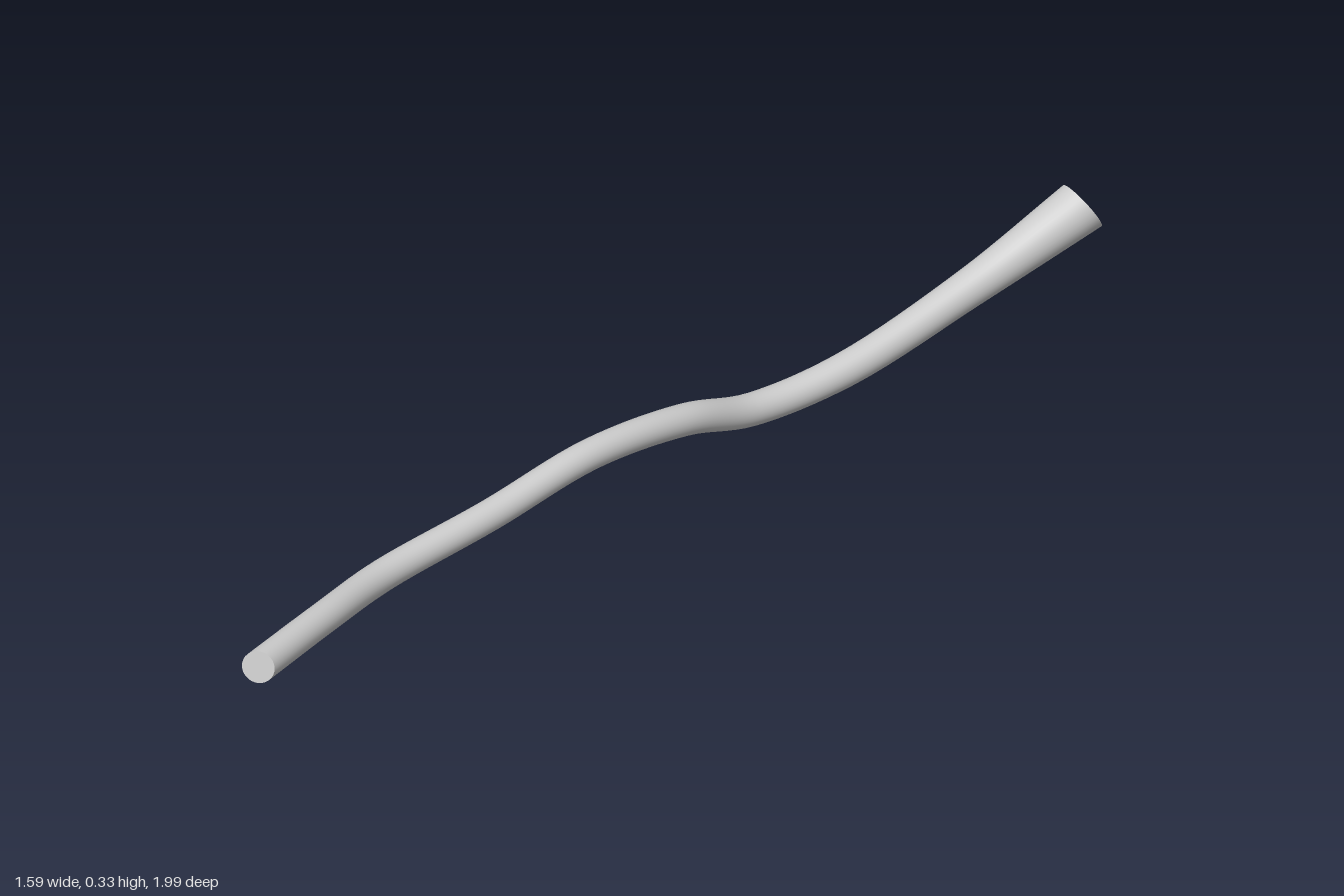
import * as THREE from 'three';

// Centre line stations: x, y, z, radius
const STATIONS = [
  [-0.76, 0.074, 0.992, 0.038],
  [-0.66, 0.065, 0.75, 0.037],
  [-0.565, 0.05, 0.52, 0.037],
  [-0.37, 0.077, 0.27, 0.036],
  [-0.185, 0.118, 0.04, 0.036],
  [-0.015, 0.098, -0.17, 0.037],
  [0.11, 0.042, -0.33, 0.038],
  [0.29, 0.064, -0.5, 0.04],
  [0.53, 0.162, -0.742, 0.045],
  [0.745, 0.278, -0.942, 0.063],
];
const FRONT_NORMAL = new THREE.Vector3(-0.08, 0.2, 0.98).normalize();
const BACK_NORMAL = new THREE.Vector3(0.62, 0.5, -0.62).normalize();
const RINGS = 72, SIDES = 32;

// Round skin swept along the centre line, with its end rings tilted to the cut faces
function sweptSkin() {
  const curve = new THREE.CatmullRomCurve3(STATIONS.map(([x, y, z]) => new THREE.Vector3(x, y, z)));
  const radii = new THREE.CatmullRomCurve3(STATIONS.map((s, i) => new THREE.Vector3(i, s[3], 0)));
  const up = new THREE.Vector3(0, 1, 0);
  const positions = [], indices = [];
  for (let i = 0; i <= RINGS; i++) {
    const t = i / RINGS;
    const centre = curve.getPoint(t), radius = radii.getPoint(t).y;
    const axis = curve.getTangent(t);
    axis.lerp(FRONT_NORMAL.clone().negate(), Math.max(0, 1 - t / 0.06));
    axis.lerp(BACK_NORMAL, Math.max(0, 1 - (1 - t) / 0.1)).normalize();
    const side = new THREE.Vector3().crossVectors(up, axis).normalize();
    const top = new THREE.Vector3().crossVectors(axis, side);
    for (let j = 0; j <= SIDES; j++) {
      const a = (j / SIDES) * Math.PI * 2;
      const p = centre.clone()
        .addScaledVector(side, Math.cos(a) * radius)
        .addScaledVector(top, Math.sin(a) * radius);
      positions.push(p.x, p.y, p.z);
      if (i < RINGS && j < SIDES) {
        const k = i * (SIDES + 1) + j, n = k + SIDES + 1;
        indices.push(k, k + 1, n, k + 1, n + 1, n);
      }
    }
  }
  const geometry = new THREE.BufferGeometry();
  geometry.setAttribute('position', new THREE.Float32BufferAttribute(positions, 3));
  geometry.setIndex(indices);
  geometry.computeVertexNormals();
  // Share normals across the lengthwise seam
  const normals = geometry.attributes.normal;
  for (let i = 0; i <= RINGS; i++) {
    const a = i * (SIDES + 1), b = a + SIDES;
    const n = new THREE.Vector3().fromBufferAttribute(normals, a)
      .add(new THREE.Vector3().fromBufferAttribute(normals, b)).normalize();
    normals.setXYZ(a, n.x, n.y, n.z);
    normals.setXYZ(b, n.x, n.y, n.z);
  }
  return geometry;
}

// Flat disc closing one end
function endCap(name, [x, y, z, radius], normal, material) {
  const cap = new THREE.Mesh(new THREE.CircleGeometry(radius, SIDES), material);
  cap.name = name;
  cap.position.set(x, y, z);
  cap.lookAt(cap.position.clone().add(normal));
  return cap;
}

export function createModel() {
  const group = new THREE.Group();
  group.name = 'bentBranch';
  const grey = new THREE.MeshStandardMaterial({ color: 0xcccccc });
  const yellow = new THREE.MeshStandardMaterial({ color: 0xd6c822 });

  const skin = new THREE.Mesh(sweptSkin(), grey);
  skin.name = 'branchSkin';
  group.add(
    skin,
    endCap('frontEnd', STATIONS[0], FRONT_NORMAL, grey),
    endCap('cutFace', STATIONS[STATIONS.length - 1], BACK_NORMAL, yellow),
  );
  return group;
}
